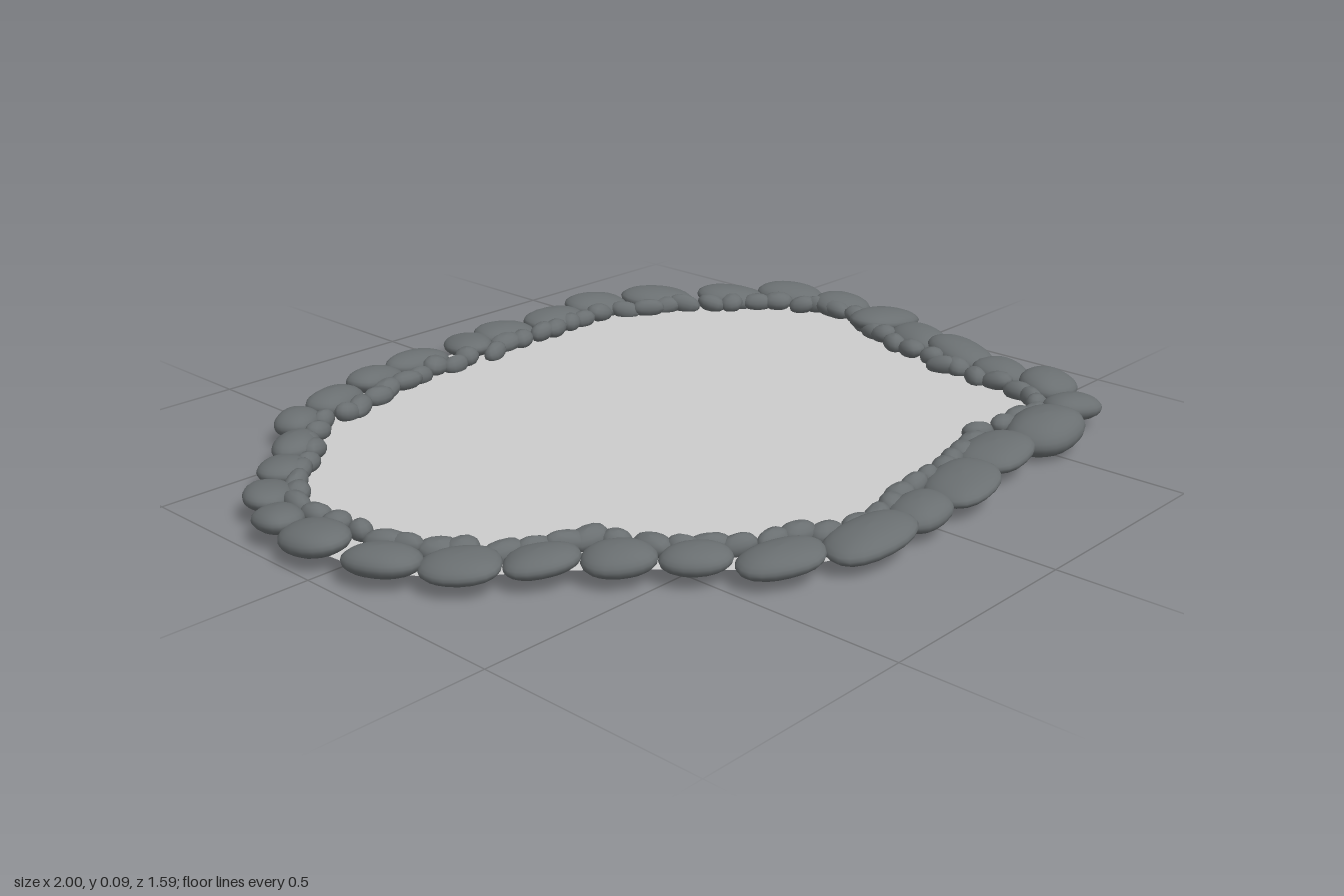
import * as THREE from 'three';

const stoneMat = new THREE.MeshStandardMaterial({ color: 0x6a6f71 });
const waterMat = new THREE.MeshStandardMaterial({ color: 0xcccccc, side: THREE.DoubleSide });

// Small seeded generator, -1..1
let seed = 7;
function rnd() {
  seed = (seed * 16807) % 2147483647;
  return (seed / 2147483647) * 2 - 1;
}

// Rim stones clockwise from the back: x, z, half length, half width
const RIM = [
  [0.02, -0.72, 0.085, 0.06], [0.14, -0.715, 0.085, 0.06], [0.31, -0.71, 0.095, 0.06], [0.475, -0.72, 0.09, 0.065],
  [0.635, -0.645, 0.097, 0.07], [0.78, -0.505, 0.095, 0.062], [0.905, -0.4, 0.09, 0.06], [0.925, -0.24, 0.072, 0.07],
  [0.9, -0.08, 0.105, 0.073], [0.84, 0.075, 0.08, 0.062], [0.815, 0.22, 0.095, 0.062], [0.765, 0.37, 0.07, 0.06],
  [0.765, 0.5, 0.07, 0.066], [0.675, 0.62, 0.075, 0.057], [0.51, 0.65, 0.1, 0.078], [0.32, 0.65, 0.095, 0.075],
  [0.13, 0.695, 0.1, 0.075], [-0.045, 0.715, 0.075, 0.06], [-0.215, 0.72, 0.11, 0.07], [-0.4, 0.655, 0.09, 0.062],
  [-0.51, 0.54, 0.07, 0.048], [-0.61, 0.435, 0.073, 0.056], [-0.715, 0.335, 0.075, 0.058], [-0.83, 0.245, 0.08, 0.062],
  [-0.915, 0.12, 0.08, 0.054], [-0.94, -0.055, 0.082, 0.058], [-0.935, -0.18, 0.064, 0.05], [-0.88, -0.29, 0.07, 0.05],
  [-0.78, -0.38, 0.07, 0.054], [-0.685, -0.47, 0.075, 0.05], [-0.595, -0.585, 0.064, 0.05], [-0.455, -0.635, 0.08, 0.055],
  [-0.3, -0.685, 0.08, 0.055], [-0.15, -0.71, 0.09, 0.05],
];
const TURN = { 0: 1.0, 1: -0.2, 3: -0.3, 8: 0, 13: -0.3 }; // stones lying across the path
const BIG = 14; // the tallest stone, which reaches the ground

// Inner line carrying the pebbles
const INNER = [
  [0, -0.645], [0.16, -0.66], [0.3, -0.66], [0.43, -0.66], [0.54, -0.615], [0.63, -0.57], [0.72, -0.49], [0.81, -0.4],
  [0.87, -0.3], [0.875, -0.18], [0.83, -0.07], [0.78, 0.03], [0.765, 0.1], [0.725, 0.22], [0.705, 0.33], [0.69, 0.44],
  [0.64, 0.56], [0.52, 0.565], [0.38, 0.565], [0.28, 0.585], [0.16, 0.62], [0.02, 0.64], [-0.13, 0.66], [-0.24, 0.64],
  [-0.34, 0.6], [-0.46, 0.515], [-0.53, 0.41], [-0.6, 0.335], [-0.69, 0.27], [-0.76, 0.21], [-0.83, 0.13], [-0.86, 0.02],
  [-0.875, -0.08], [-0.86, -0.2], [-0.81, -0.29], [-0.74, -0.36], [-0.65, -0.46], [-0.57, -0.53], [-0.46, -0.57],
  [-0.28, -0.62], [-0.14, -0.645],
];

const closedCurve = (pts) => new THREE.CatmullRomCurve3(pts.map(([x, z]) => new THREE.Vector3(x, 0, z)), true);

// Rounded, slightly boxy and lumpy pebble, size given as half extents
function stoneGeometry(a, h, b, segs) {
  const g = new THREE.SphereGeometry(1, segs, Math.round(segs * 0.6));
  const p = g.attributes.position;
  const v = new THREE.Vector3();
  const box = (t, e) => Math.sign(t) * Math.pow(Math.abs(t), e);
  const k = rnd() * 3;
  for (let i = 0; i < p.count; i++) {
    v.fromBufferAttribute(p, i);
    const lump = 1 + 0.05 * Math.sin(2 * v.x + k) * Math.cos(3 * v.z + 2 * k);
    p.setXYZ(i, box(v.x, 0.88) * a * lump, box(v.y, 1.05) * h * lump, box(v.z, 0.88) * b * lump);
  }
  g.computeVertexNormals();
  // Weld the shading across the seam of the sphere
  const n = g.attributes.normal;
  const w = g.parameters.widthSegments + 1;
  for (let r = 0; r < p.count / w; r++) {
    const s = r * w, e = s + w - 1;
    v.fromBufferAttribute(n, s).add(new THREE.Vector3().fromBufferAttribute(n, e)).normalize();
    n.setXYZ(s, v.x, v.y, v.z);
    n.setXYZ(e, v.x, v.y, v.z);
  }
  return g;
}

function addStone(parent, name, geometry, x, y, z, yaw, pitch, roll) {
  const m = new THREE.Mesh(geometry, stoneMat);
  m.name = name;
  m.position.set(x, y, z);
  m.rotation.set(roll, yaw, pitch, 'YXZ');
  parent.add(m);
}

export function createModel() {
  seed = 7;
  const pond = new THREE.Group();
  pond.name = 'pond';

  // Water sheet, running out under the rim stones
  const outline = closedCurve(RIM.map(([x, z]) => [x * 1.015, z * 1.015])).getPoints(140);
  const shape = new THREE.Shape(outline.map((p) => new THREE.Vector2(p.x, -p.z)));
  const water = new THREE.Mesh(new THREE.ShapeGeometry(shape).rotateX(-Math.PI / 2), waterMat);
  water.name = 'water';
  water.position.y = 0.034;
  pond.add(water);

  // Large rim stones, each lying along the rim
  const rim = new THREE.Group();
  rim.name = 'rimStones';
  RIM.forEach(([x, z, a, b], i) => {
    const prev = RIM[(i + RIM.length - 1) % RIM.length];
    const next = RIM[(i + 1) % RIM.length];
    const yaw = TURN[i] ?? Math.atan2(prev[1] - next[1], next[0] - prev[0]);
    const h = i === BIG ? 0.045 : 0.029 + 0.003 * rnd();
    const y = i === BIG ? 0.047 : 0.051;
    addStone(rim, 'rimStone', stoneGeometry(a, h, b, 20), x, y, z, yaw, -0.1 + 0.05 * rnd(), 0.08 * rnd());
  });
  pond.add(rim);

  // Small pebbles between the rim and the water
  const pebbles = new THREE.Group();
  pebbles.name = 'innerPebbles';
  const line = closedCurve(INNER);
  const count = 84;
  for (let i = 0; i < count; i++) {
    const u = (i + 0.25 * rnd() + 0.5) / count;
    const p = line.getPointAt(u);
    const t = line.getTangentAt(u);
    const a = 0.037 + 0.008 * rnd();
    const side = 0.012 * rnd();
    addStone(pebbles, 'pebble', stoneGeometry(a, 0.023, 0.026 + 0.004 * rnd(), 12),
      p.x + t.z * side, 0.051 + 0.004 * rnd(), p.z - t.x * side,
      Math.atan2(-t.z, t.x) + 0.35 * rnd(), 0.25 * rnd(), 0.3 * rnd());
  }
  pond.add(pebbles);

  return pond;
}
